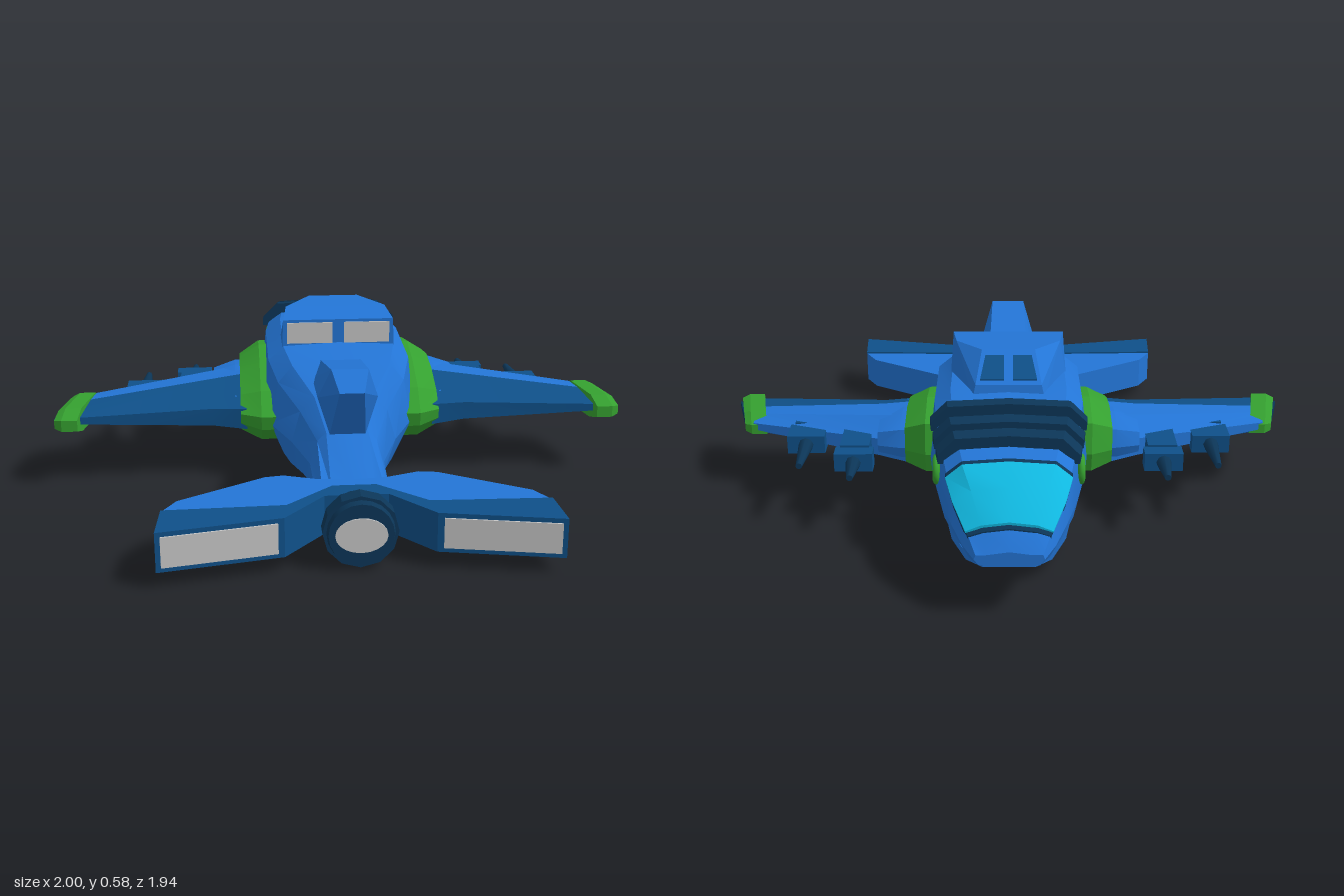
import * as THREE from 'three';
import { toCreasedNormals } from 'three/addons/utils/BufferGeometryUtils.js';
import { ConvexGeometry } from 'three/addons/geometries/ConvexGeometry.js';

const material = (name, color) => {
  const m = new THREE.MeshStandardMaterial({ color });
  m.name = name;
  return m;
};

// Closed skin through equal-length rings of [x, y, z]; winding is turned outward.
function loft(rings, crease = 0.3) {
  const tris = [], n = rings[0].length;
  for (let i = 0; i + 1 < rings.length; i++) {
    for (let j = 0; j < n; j++) {
      const k = (j + 1) % n, a = rings[i], b = rings[i + 1];
      tris.push([a[j], a[k], b[k]], [a[j], b[k], b[j]]);
    }
  }
  for (const [ring, end] of [[rings[0], false], [rings[rings.length - 1], true]]) {
    const c = [0, 1, 2].map(d => ring.reduce((s, p) => s + p[d], 0) / n);
    ring.forEach((p, j) => {
      const q = ring[(j + 1) % n];
      tris.push(end ? [c, p, q] : [c, q, p]);
    });
  }
  const V = p => new THREE.Vector3(...p);
  const volume = tris.reduce((s, t) => s + V(t[0]).dot(V(t[1]).cross(V(t[2]))), 0);
  const out = tris.flatMap(t => (volume < 0 ? [t[0], t[2], t[1]] : t)).flat();
  const g = new THREE.BufferGeometry();
  g.setAttribute('position', new THREE.Float32BufferAttribute(out, 3));
  return toCreasedNormals(g, crease);
}

// Thin painted panel: polygon plus a small offset.
const plate = (pts, off) => loft([pts, pts.map(p => p.map((v, i) => v + off[i]))]);
const convex = pts => new ConvexGeometry(pts.map(p => new THREE.Vector3(...p)));
const bothSides = pts => pts.flatMap(([x, y, z]) => [[x, y, z], [-x, y, z]]);

// Hull stations: z, top y, roof half-width, shoulder x y, waist x y, belly x y
const HULL = [
  [-0.97, 0.215, 0.07, 0.10, 0.205, 0.105, 0.19, 0.09, 0.17],
  [-0.92, 0.275, 0.08, 0.125, 0.25, 0.14, 0.21, 0.12, 0.168],
  [-0.83, 0.345, 0.11, 0.165, 0.305, 0.175, 0.23, 0.15, 0.165],
  [-0.73, 0.39, 0.14, 0.19, 0.34, 0.205, 0.24, 0.18, 0.155],
  [-0.57, 0.43, 0.17, 0.22, 0.385, 0.24, 0.25, 0.21, 0.115],
  [-0.50, 0.445, 0.18, 0.23, 0.40, 0.25, 0.25, 0.19, 0.035],
  [-0.30, 0.465, 0.195, 0.25, 0.41, 0.27, 0.24, 0.20, 0.04],
  [0.05, 0.455, 0.195, 0.25, 0.40, 0.27, 0.22, 0.20, 0.045],
  [0.16, 0.42, 0.17, 0.22, 0.35, 0.25, 0.20, 0.18, 0.05],
  [0.27, 0.34, 0.10, 0.15, 0.28, 0.18, 0.17, 0.14, 0.05],
  [0.40, 0.26, 0.07, 0.10, 0.22, 0.125, 0.14, 0.11, 0.05],
  [0.62, 0.15, 0.07, 0.10, 0.145, 0.12, 0.12, 0.11, 0.05],
];
function station(z) {
  const i = Math.max(1, HULL.findIndex(s => s[0] >= z));
  const a = HULL[i - 1], b = HULL[i], t = (z - a[0]) / (b[0] - a[0]);
  return a.map((v, k) => v + (b[k] - v) * t);
}
function hullRing(z) {
  const [, top, wt, sx, sy, mx, my, bx, by] = station(z);
  return [[0, top, z], [wt, top - 0.01, z], [sx, sy, z], [mx, my, z], [bx, by, z],
    [-bx, by, z], [-mx, my, z], [-sx, sy, z], [-wt, top - 0.01, z]];
}
// Upper arc of the hull, widened and lifted, closed underneath.
const cover = (z, widen, lift, drop = 0) => {
  const [, top, wt, sx, sy] = station(z);
  const low = sy - drop;
  return [[0, top + lift, z], [wt * widen, top - 0.01 + lift, z], [sx * widen, sy + lift / 2, z],
    [sx * widen, low, z], [-sx * widen, low, z], [-sx * widen, sy + lift / 2, z],
    [-wt * widen, top - 0.01 + lift, z]];
};

export function createModel() {
  const root = new THREE.Group();
  root.name = 'aircraft';
  const blue = material('hull blue', 0x2375d6);
  const deep = material('deep blue', 0x0f5089);
  const navy = material('navy', 0x0c3658);
  const green = material('green', 0x35a030);
  const cyan = material('canopy cyan', 0x10b8e0);
  const grey = material('light grey', 0xc6c6c6);
  const add = (name, geometry, mat) => {
    const m = new THREE.Mesh(geometry, mat);
    m.name = name;
    root.add(m);
    return m;
  };

  // Hull, open mouth and lower jaw
  add('hull', loft(HULL.map(s => hullRing(s[0])), 0.45), blue);
  const jaw = [[-0.755, 0.09, 0.037, 0.068], [-0.7, 0.15, 0.033, 0.078], [-0.61, 0.185, 0.03, 0.094],
    [-0.56, 0.205, 0.03, 0.115], [-0.45, 0.2, 0.036, 0.18]];
  add('lowerJaw', loft(jaw.map(([z, w, lo, hi]) =>
    [[-w, hi, z], [w, hi, z], [w * 0.92, lo, z], [-w * 0.92, lo, z]])), blue);
  add('mouthRoof', loft([-0.92, -0.83, -0.73, -0.57].map(z => {
    const s = station(z), w = s[7] - 0.015;
    return [[-w, s[8], z], [w, s[8], z], [w, s[8] - 0.006, z], [-w, s[8] - 0.006, z]];
  })), navy);

  // Canopy and its frame
  add('canopyFrame', loft([-0.928, -0.83, -0.73, -0.715].map(z => cover(z, 1.02, 0.004, 0.016)), 0.5), navy);
  add('canopy', loft([-0.918, -0.83, -0.735].map(z => cover(z, 1.04, 0.009)), 0.5), cyan);

  // Ribs over the neck
  for (const z of [-0.635, -0.565, -0.47]) {
    add('neckRib', loft([-0.02, 0.02].map(d => cover(z + d, 1.09, 0.036, 0.012))), navy);
  }

  // Raised cabin with front panes and rear vents
  add('cabin', convex(bothSides([[0.2, 0.43, 0.035], [0.2, 0.44, -0.12], [0.12, 0.44, -0.345],
    [0.195, 0.54, 0.035], [0.18, 0.555, -0.1], [0.09, 0.565, -0.215], [0.11, 0.485, -0.335]])), blue);

  // Dorsal fin wedge
  add('dorsalFin', convex(bothSides([[0.07, 0.42, 0.13], [0.1, 0.36, 0.15], [0.06, 0.5, 0.5],
    [0.04, 0.445, 0.58], [0.1, 0.38, 0.42], [0.06, 0.25, 0.42]])), blue);

  // Tail engine
  const engine = [[0, -0.1], [0.07, -0.1], [0.1, 0], [0.105, 0.06], [0.1, 0.08], [0, 0.08]];
  const nozzle = new THREE.LatheGeometry(engine.map(p => new THREE.Vector2(...p)), 20);
  nozzle.rotateX(Math.PI / 2).translate(0, 0.105, 0.82);
  add('engine', toCreasedNormals(nozzle, 0.5), navy);
  const collar = new THREE.CylinderGeometry(0.117, 0.117, 0.055, 12);
  add('engineRing', toCreasedNormals(collar.rotateX(Math.PI / 2).translate(0, 0.105, 0.85), 0.2), navy);
  const glow = new THREE.CylinderGeometry(0.08, 0.08, 0.006, 20);
  add('engineOutlet', glow.rotateX(Math.PI / 2).scale(1, 0.7, 1).translate(0, 0.105, 0.902), grey);

  // Flat outline in x and z, given thickness from y0 to y1
  const slab = (pts, y0, y1) => {
    const shape = new THREE.Shape(pts.map(p => new THREE.Vector2(...p)));
    return new THREE.ExtrudeGeometry(shape, { depth: y1 - y0, bevelEnabled: false })
      .rotateX(Math.PI / 2).translate(0, y1, 0);
  };

  // Wing-root outline in z and y
  const ROOT = [[0.18, 0.23], [0.1, 0.3], [-0.05, 0.36], [-0.2, 0.385], [-0.36, 0.355],
    [-0.38, 0.25], [-0.36, 0.18], [-0.2, 0.125], [0, 0.095], [0.1, 0.12], [0.17, 0.18]];
  const rootRing = (x, k) => ROOT.map(([z, y]) =>
    [x, 0.225 + (y - 0.225) * k, -0.08 + (z + 0.08) * (0.4 + 0.6 * k)]);

  for (const s of [1, -1]) {
    const flip = rings => rings.map(r => r.map(([x, y, z]) => [x * s, y, z]));
    const part = (name, rings, mat) => add(name, loft(flip(rings)), mat);
    const panel = (name, pts, [x, y, z], mat) => add(name, plate(flip([pts])[0], [x * s, y, z]), mat);

    // Wing collar and root block
    part('wingCollar', [rootRing(0.2, 1), rootRing(0.28, 1), rootRing(0.352, 0.72)], green);
    part('wingRoot', [rootRing(0.3, 0.6), rootRing(0.37, 0.58), rootRing(0.45, 0.42)], blue);

    // Wing: blue leading half, deep blue trailing half
    // x, front z, split z, rear z, low y, high y
    const wing = [[0.33, -0.29, -0.07, 0.13, 0.145, 0.315], [0.45, -0.245, -0.06, 0.11, 0.155, 0.3],
      [0.91, -0.095, 0.02, 0.145, 0.185, 0.255]];
    part('wingFront', wing.map(([x, f, m, , lo, hi]) => [[x, lo + 0.03, f], [x, (lo + hi) / 2 + 0.02, f],
      [x, hi, f + (m - f) * 0.45], [x, hi, m], [x, lo, m], [x, lo, f + (m - f) * 0.45]]), blue);
    part('wingRear', wing.map(([x, , m, r, lo, hi]) => [[x, hi, m], [x, (lo + hi) / 2 + 0.015, r],
      [x, lo + 0.025, r], [x, lo, m]]), deep);

    // Slanted wing tip with a dark inset
    const tipRing = (x, k) => [[-0.1, 0.235], [-0.04, 0.265], [0.12, 0.262], [0.175, 0.235],
      [0.175, 0.195], [0.12, 0.178], [-0.04, 0.178], [-0.1, 0.2]].map(([z, y]) =>
      [x + (z - 0.04) * 0.2, 0.22 + (y - 0.22) * k, 0.04 + (z - 0.04) * (0.5 + 0.5 * k)]);
    part('wingTip', [tipRing(0.89, 1), tipRing(0.945, 1), tipRing(0.971, 0.75)], green);
    part('wingTipInset', [tipRing(0.968, 0.4), tipRing(0.975, 0.4)], navy);

    // Guns under the leading edge: x, front z, rear z, muzzle z
    for (const [x, front, rear, tip] of [[0.525, -0.37, -0.31, -0.485], [0.705, -0.225, -0.12, -0.395]]) {
      const box = (w, h, a, b) => new THREE.BoxGeometry(w, h, b - a).translate(s * x, 0.215, (a + b) / 2);
      add('gunHousing', box(0.13, 0.065, front, rear), deep);
      add('gunMount', box(0.1, 0.08, rear - 0.005, rear + 0.18), deep);
      const barrel = new THREE.CylinderGeometry(0.011, 0.026, front - tip, 8);
      barrel.rotateX(-Math.PI / 2).translate(s * x, 0.215, (front + tip) / 2);
      add('gunBarrel', barrel, navy);
    }

    // Porthole
    const ring = new THREE.TorusGeometry(0.038, 0.012, 8, 16).rotateY(Math.PI / 2);
    add('portholeRing', ring.translate(s * 0.23, 0.3, -0.59), green);
    const pane = new THREE.CylinderGeometry(0.036, 0.036, 0.02, 16).rotateZ(Math.PI / 2);
    add('portholePane', pane.translate(s * 0.227, 0.3, -0.59), navy);

    // Cabin panes and vents
    panel('cabinPane', [[0.015, 0.495, -0.321], [0.095, 0.495, -0.321], [0.078, 0.55, -0.237],
      [0.015, 0.55, -0.237]], [0, 0.005, -0.004], deep);
    panel('cabinVent', [[0.02, 0.455, 0.034], [0.182, 0.455, 0.034], [0.182, 0.53, 0.034],
      [0.02, 0.53, 0.034]], [0, 0, 0.006], grey);

    // Swept tailplane with light rear panel
    const side = pts => pts.map(([x, z]) => [x * s, z]);
    add('tailFront', slab(side([[0, 0.6], [0.11, 0.59], [0.22, 0.55], [0.28, 0.56], [0.555, 0.73],
      [0.6, 0.81], [0.22, 0.8], [0.07, 0.66], [0, 0.66]]), 0.045, 0.162), blue);
    add('tailRear', slab(side([[0, 0.66], [0.07, 0.66], [0.22, 0.8], [0.6, 0.81], [0.61, 0.97],
      [0.23, 0.895], [0.1, 0.74], [0, 0.74]]), 0.04, 0.168), deep);
    panel('tailPanel', [[0.25, 0.055, 0.898], [0.595, 0.055, 0.966], [0.595, 0.153, 0.966],
      [0.25, 0.153, 0.898]], [-0.001, 0, 0.006], grey);
  }
  return root;
}
